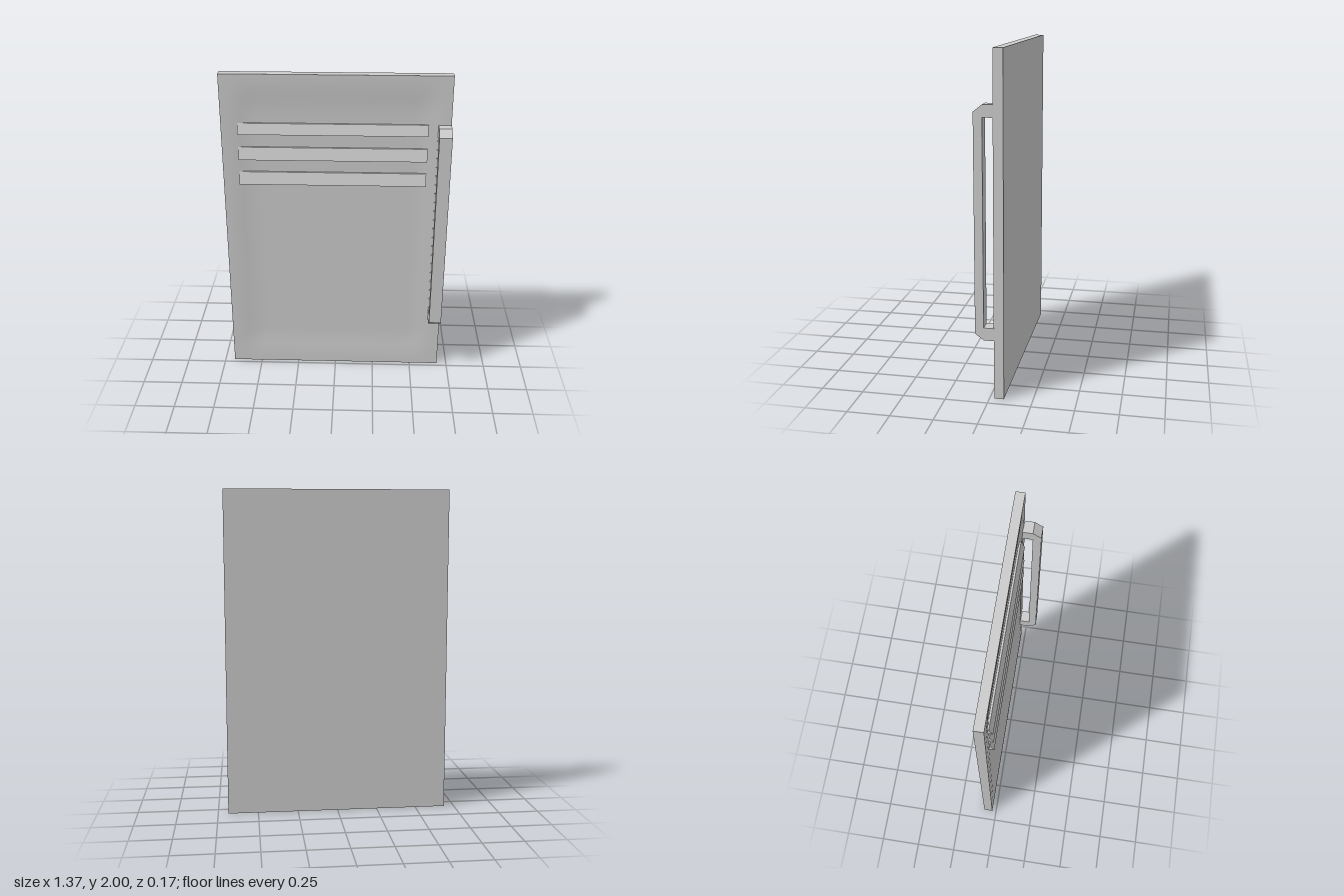
import * as THREE from 'three';

const material = new THREE.MeshStandardMaterial({ color: 0xcccccc });
const FRONT = -0.027, BACK = -0.083, HALF = 0.687;

// Extrudes a side profile of [z, y] points (with optional hole) from x0 to x1.
function sideExtrude(name, profile, x0, x1, hole) {
  const toPoints = (list) => list.map(([z, y]) => new THREE.Vector2(z, y));
  const shape = new THREE.Shape(toPoints(profile));
  if (hole) shape.holes.push(new THREE.Path(toPoints(hole)));
  const geometry = new THREE.ExtrudeGeometry(shape, { depth: x1 - x0, bevelEnabled: false });
  geometry.rotateY(-Math.PI / 2);
  geometry.translate(x1, 0, 0);
  const mesh = new THREE.Mesh(geometry, material);
  mesh.name = name;
  return mesh;
}

// Door slab whose front is very gently dished inside a flat rim.
function doorPanel() {
  const depth = FRONT - BACK;
  const geometry = new THREE.BoxGeometry(HALF * 2, 2, depth, 36, 48, 1);
  geometry.translate(0, 1, (FRONT + BACK) / 2);
  const p = geometry.attributes.position;
  for (let i = 0; i < p.count; i++) {
    if (p.getZ(i) < FRONT - 0.001) continue;
    const dx = HALF - Math.abs(p.getX(i));
    const dy = 1 - Math.abs(p.getY(i) - 1);
    const dish = THREE.MathUtils.smoothstep(dx, 0.03, 0.2) * THREE.MathUtils.smoothstep(dy, 0.03, 0.24);
    p.setZ(i, FRONT - 0.012 * dish);
  }
  geometry.computeVertexNormals();
  const mesh = new THREE.Mesh(geometry, material);
  mesh.name = 'doorPanel';
  return mesh;
}

export function createModel() {
  const group = new THREE.Group();
  group.name = 'ventedDoor';
  group.add(doorPanel());

  // Three wedge-shaped vent slats, leaning out at the bottom
  for (const [i, y] of [1.635, 1.473, 1.313].entries()) {
    const top = y + (i === 0 ? 0.065 : 0.075);
    group.add(sideExtrude(`ventSlat${i + 1}`,
      [[-0.05, y], [-0.005, y], [-0.027, top], [-0.05, top]], -0.587, 0.552));
  }

  // Tall pull handle with chamfered outer corners, on the left edge
  group.add(sideExtrude('handle',
    [[-0.045, 0.355], [0.033, 0.355], [0.083, 0.393], [0.083, 1.66], [0.033, 1.7], [-0.045, 1.7]],
    0.61, HALF,
    [[-0.026, 0.43], [-0.026, 1.63], [0.033, 1.63], [0.033, 0.43]]));

  return group;
}
